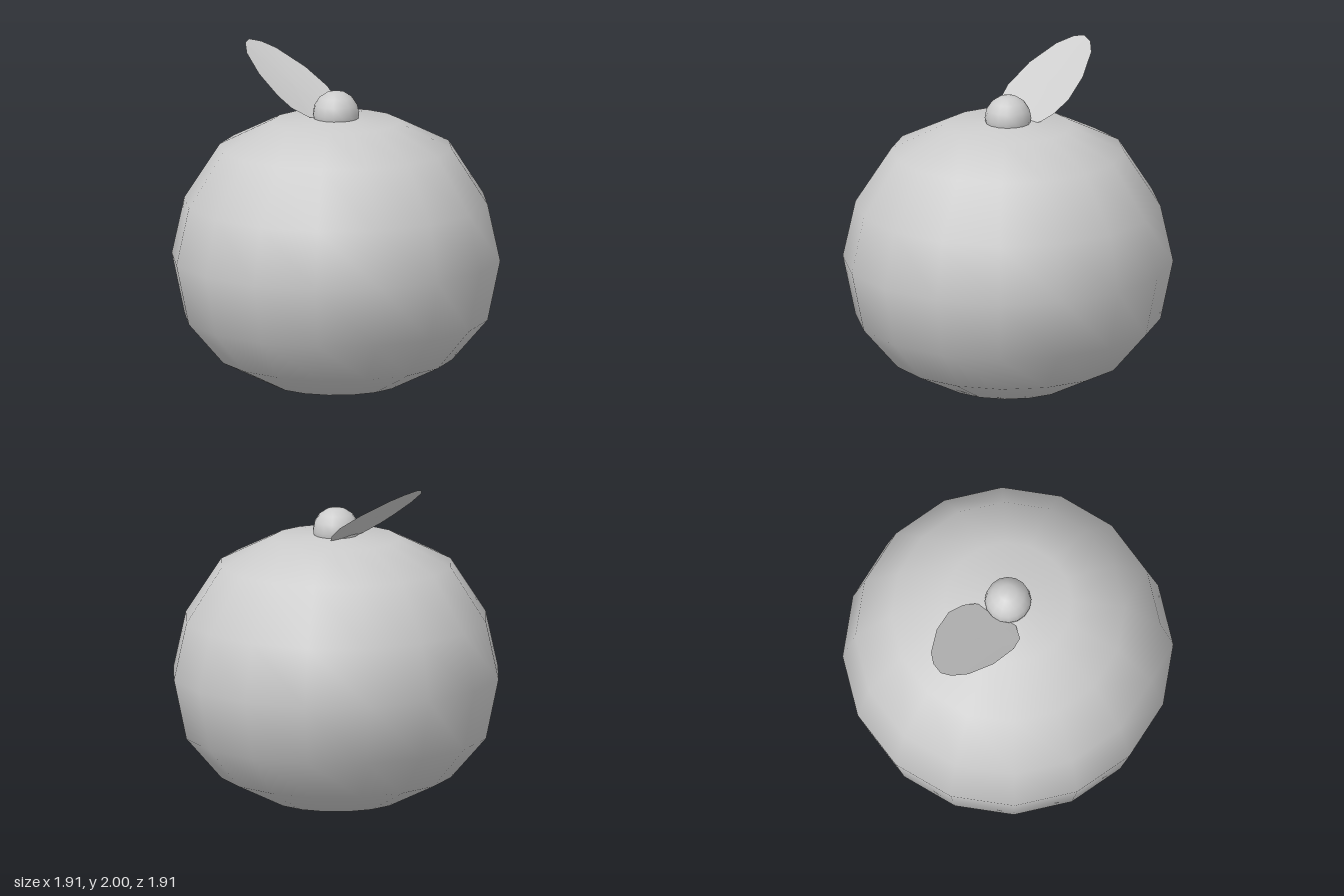
import * as THREE from 'three';

const grey = new THREE.MeshStandardMaterial({ color: 0xcccccc });
const leafGrey = new THREE.MeshStandardMaterial({ color: 0xcccccc, side: THREE.DoubleSide });

function part(name, geometry, material = grey) {
  const mesh = new THREE.Mesh(geometry, material);
  mesh.name = name;
  return mesh;
}

// Round body turned from a profile, slightly flattened at both poles
function makeBody() {
  const profile = [
    [0, 0.05], [0.37, 0.07], [0.675, 0.22], [0.882, 0.46], [0.955, 0.81],
    [0.882, 1.14], [0.675, 1.46], [0.37, 1.61], [0, 1.64],
  ].map(([r, y]) => new THREE.Vector2(r, y));
  return part('fruitBody', new THREE.LatheGeometry(profile, 16));
}

// Squashed ball, used for the stem knob and the bottom nub
function makeBall(name, radius, halfHeight, y) {
  const ball = part(name, new THREE.SphereGeometry(radius, 16, 8));
  ball.scale.y = halfHeight / radius;
  ball.position.y = y;
  return ball;
}

// Thin leaf: rings shrunk from an outline (x, z), tilted and slightly cupped
function makeLeaf() {
  const outline = [
    [-0.57, -0.35], [-0.55, -0.25], [-0.46, -0.10], [-0.335, 0.02],
    [-0.25, 0.06], [-0.15, 0.04], [-0.12, 0.0], [-0.05, -0.08],
    [-0.01, -0.15], [-0.005, -0.19], [-0.025, -0.26], [-0.09, -0.345],
    [-0.23, -0.42], [-0.405, -0.46], [-0.49, -0.45], [-0.555, -0.41],
  ];
  const n = outline.length, rings = 4, cx = -0.28, cz = -0.21;
  const geometry = new THREE.RingGeometry(0, 1, n, rings);
  const pos = geometry.attributes.position;
  for (let i = 0; i < pos.count; i++) {
    const t = Math.floor(i / (n + 1)) / rings;
    const [ox, oz] = outline[(i % (n + 1)) % n];
    const x = cx + (ox - cx) * t, z = cz + (oz - cz) * t;
    // position across the leaf, from the back edge (-1) to the front edge (1)
    const s = (-(x - cx) * 0.57 + (z - cz) * 0.82) / 0.22;
    const y = 1.64 - 0.494 * (x + 0.01) - 0.397 * (z + 0.19) + 0.018 * (s + s * s);
    pos.setXYZ(i, x, y, z);
  }
  geometry.computeVertexNormals();
  return part('leaf', geometry, leafGrey);
}

export function createModel() {
  const model = new THREE.Group();
  model.name = 'roundFruit';
  model.add(
    makeBody(),
    makeBall('stemKnob', 0.135, 0.135, 1.655),
    makeBall('bottomNub', 0.13, 0.055, 0.055),
    makeLeaf(),
  );
  return model;
}
